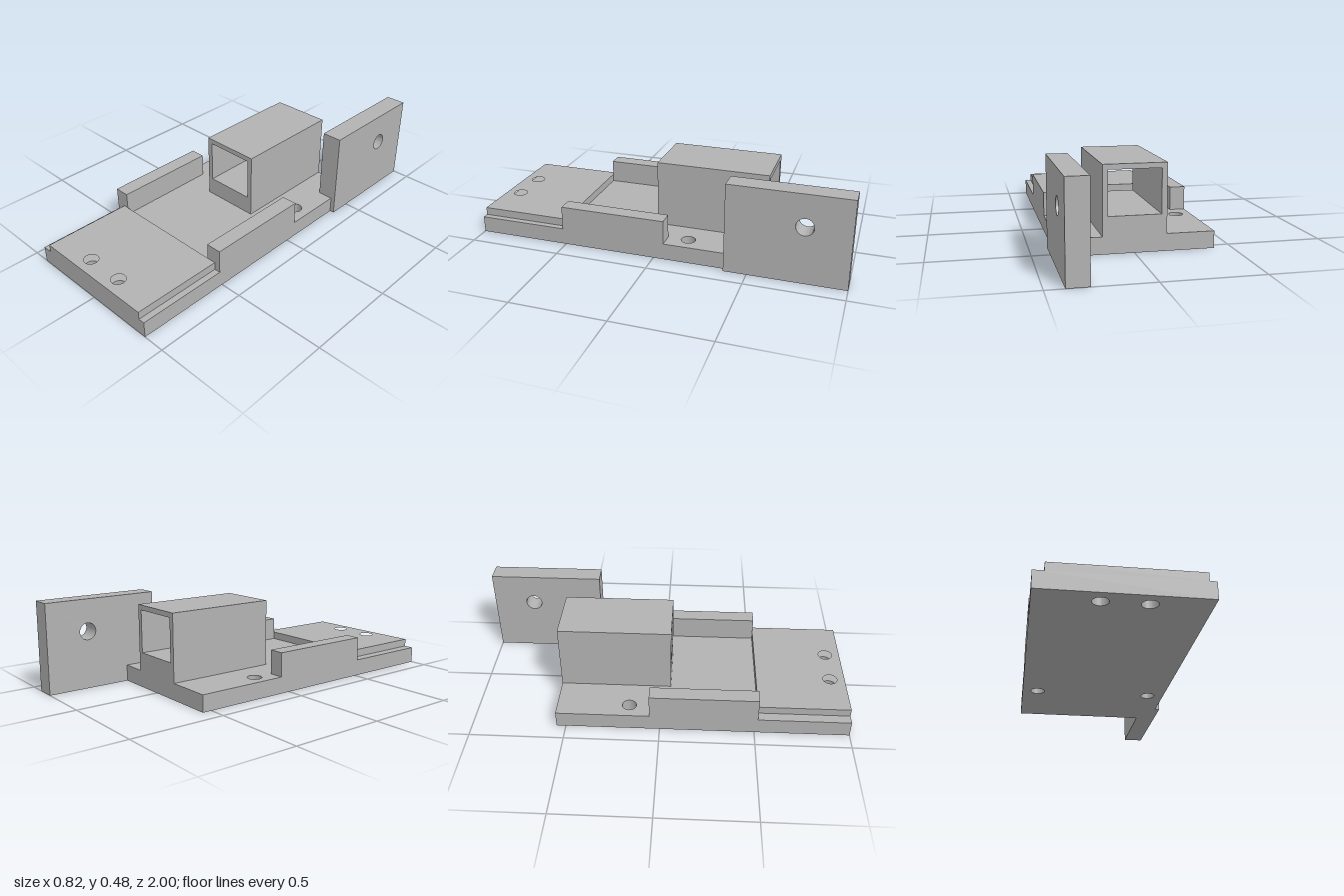
import * as THREE from 'three';
import { toCreasedNormals } from 'three/addons/utils/BufferGeometryUtils.js';

const HOLE_RADIUS = 0.038;

// Closed outline from corner points, with circular holes given as [x, y, radius]
function outline(points, holes = []) {
  const shape = new THREE.Shape(points.map(([x, y]) => new THREE.Vector2(x, y)));
  for (const [x, y, r] of holes) {
    shape.holes.push(new THREE.Path().absarc(x, y, r, 0, Math.PI * 2, true));
  }
  return shape;
}

const rect = (x0, y0, x1, y1) => [[x0, y0], [x1, y0], [x1, y1], [x0, y1]];

function extrude(shape, depth) {
  return new THREE.ExtrudeGeometry(shape, { depth, bevelEnabled: false, curveSegments: 20 });
}

// Slab drawn in plan (x, z) and raised from y0 to y1
function slab(points, holes, y0, y1) {
  const flip = ([x, z, ...rest]) => [x, -z, ...rest];
  const geometry = extrude(outline(points.map(flip), holes.map(flip)), y1 - y0);
  return geometry.rotateX(-Math.PI / 2).translate(0, y0, 0);
}

export function createModel() {
  const group = new THREE.Group();
  group.name = 'mountingBracket';
  const grey = new THREE.MeshStandardMaterial({ color: 0xb2b2b2 });
  grey.name = 'plainGrey';

  function add(name, geometry) {
    const mesh = new THREE.Mesh(toCreasedNormals(geometry, 0.6), grey);
    mesh.name = name;
    group.add(mesh);
  }

  const frontHoles = [[-0.11, 0.92, HOLE_RADIUS], [0.105, 0.92, HOLE_RADIUS]];
  const rearHoles = [[-0.325, -0.165, HOLE_RADIUS], [0.297, -0.165, HOLE_RADIUS]];

  // Base plate, notched at the rear corner for the upright plate
  add('basePlate', slab(
    [[-0.408, 1], [0.384, 1], [0.384, -0.38], [0.3, -0.38], [0.3, -0.55], [-0.408, -0.55]],
    [...frontHoles, ...rearHoles], 0, 0.088));

  // Raised pad at the front, sharing the front screw holes
  add('frontPad', slab(rect(-0.355, 0.515, 0.35, 1), frontHoles, 0.088, 0.13));

  // Side rails
  add('rightRail', slab(rect(-0.408, -0.055, -0.325, 0.515), [], 0.088, 0.216));
  add('leftRail', slab(rect(0.3, -0.055, 0.384, 0.515), [], 0.088, 0.216));

  // Rectangular tube, open at both ends
  const section = outline(rect(-0.163, 0.088, 0.16, 0.443));
  section.holes.push(outline(rect(-0.135, 0.188, 0.133, 0.416)));
  add('squareTube', extrude(section, 0.6).translate(0, 0, -0.55));

  // Upright plate with a cross hole, drawn in (z, y)
  const upright = outline(rect(-1, 0, -0.38, 0.476), [[-0.773, 0.305, 0.045]]);
  add('uprightPlate', extrude(upright, 0.108).rotateY(-Math.PI / 2).translate(0.408, 0, 0));

  return group;
}
